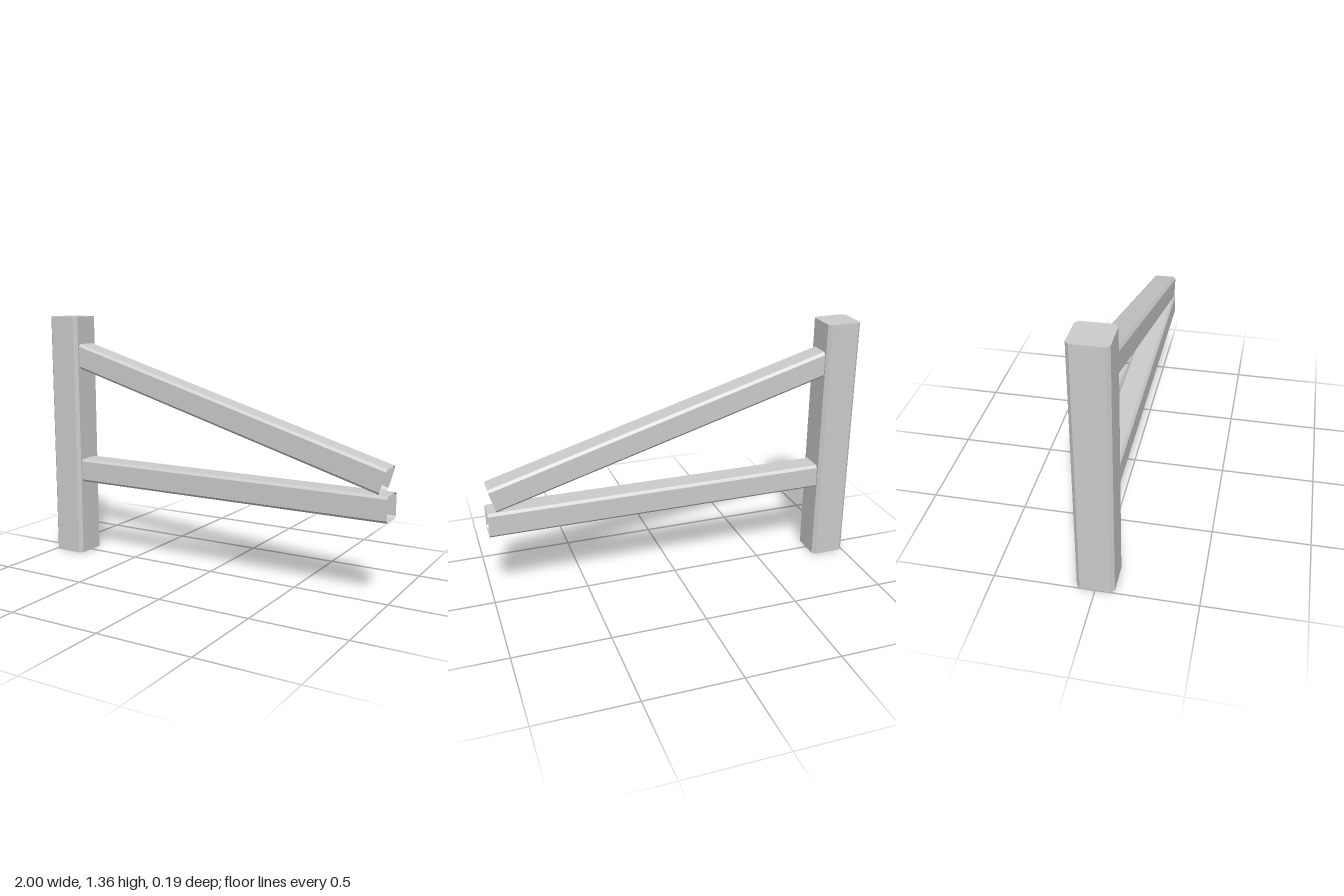
import * as THREE from 'three';

const V = (x, y, z = 0) => new THREE.Vector3(x, y, z);

// Square ring with chamfered corners, spanned by the axes u and v
function ring(centre, u, v, half, chamfer) {
  const a = half, b = half - chamfer;
  return [[a, -b], [a, b], [b, a], [-b, a], [-a, b], [-a, -b], [-b, -a], [b, -a]]
    .map(([p, q]) => centre.clone().addScaledVector(u, p).addScaledVector(v, q));
}

// Hollow bar between two rings, open at both ends unless capped
function bar(name, start, end, capEnd = false) {
  const points = [];
  const n = start.length;
  for (let i = 0; i < n; i++) {
    const j = (i + 1) % n;
    points.push(start[i], end[i], end[j], start[i], end[j], start[j]);
    if (capEnd && i > 0 && i < n - 1) points.push(end[0], end[j], end[i]);
  }
  const geometry = new THREE.BufferGeometry().setFromPoints(points);
  geometry.computeVertexNormals();
  const material = new THREE.MeshStandardMaterial({
    color: 0xcccccc, flatShading: true, side: THREE.DoubleSide,
  });
  const mesh = new THREE.Mesh(geometry, material);
  mesh.name = name;
  return mesh;
}

export function createModel() {
  const group = new THREE.Group();
  group.name = 'bracketFrame';
  const X = V(1, 0), Y = V(0, 1), Z = V(0, 0, 1);
  const postHalf = 0.093, postX = -1 + postHalf, faceX = -1 + 2 * postHalf;
  const half = 0.066, chamfer = 0.013;

  // Upright post, closed on top and open underneath
  group.add(bar('post',
    ring(V(postX, 0), X, Z, postHalf, 0.018),
    ring(V(postX, 1.357), X, Z, postHalf, 0.018), true));

  // Horizontal arm
  group.add(bar('lowerArm',
    ring(V(faceX, 0.485), Z, Y, half, chamfer),
    ring(V(1, 0.485), Z, Y, half, chamfer)));

  // Sloping brace: cut vertically at the post, squarely at its free end
  const from = V(faceX, 1.136), to = V(0.973, 0.616);
  const slope = to.clone().sub(from).normalize();
  const normal = V(-slope.y, slope.x);
  group.add(bar('upperBrace',
    ring(from, Z, V(0, 1 / slope.x), half, chamfer),
    ring(to, Z, normal, half, chamfer)));

  return group;
}
